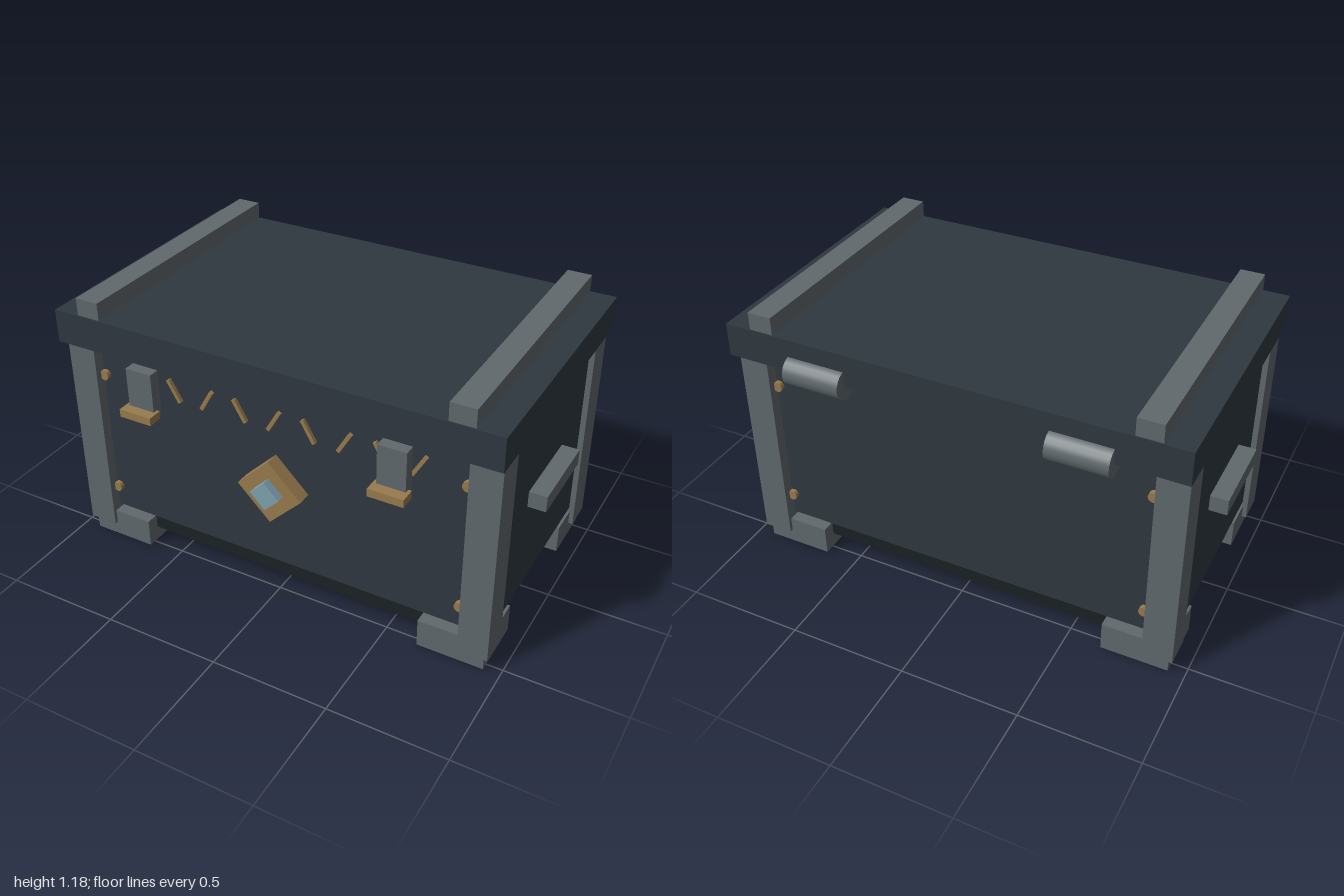
import * as THREE from 'three';

const mat = (color) => new THREE.MeshStandardMaterial({ color });

export function createModel() {
  const chest = new THREE.Group();
  chest.name = 'chest';
  const wood = mat(0x2f3840), base = mat(0x1b2225), iron = mat(0x60696d);
  const brass = mat(0x987b4e), crystal = mat(0x7fa3b0);
  const zc = -0.006; // depth centre of the carcass

  const add = (name, geometry, material, x, y, z) => {
    const mesh = new THREE.Mesh(geometry, material);
    mesh.name = name;
    mesh.position.set(x, y, z);
    chest.add(mesh);
    return mesh;
  };
  const box = (name, material, w, h, d, x, y, z) =>
    add(name, new THREE.BoxGeometry(w, h, d), material, x, y, z);

  // Carcass and lid
  box('base', base, 1.78, 0.085, 0.96, 0, 0.105, zc);
  box('body', wood, 1.85, 0.755, 1.01, 0, 0.5225, zc);
  box('lidLiner', base, 1.8, 0.03, 0.98, 0, 0.96, zc);
  box('lid', wood, 1.92, 0.142, 1.186, 0, 1.034, zc - 0.001);

  for (const sx of [-1, 1]) {
    // Corner posts, feet and rivets
    for (const sz of [-1, 1]) {
      box('cornerPost', iron, 0.127, 0.9, 0.133, sx * 0.885, 0.513, zc + sz * 0.486);
      box('foot', iron, 0.283, 0.125, 0.255, sx * 0.788, 0.0625, zc + sz * 0.41);
      for (const y of [0.25, 0.81]) {
        const rivet = add('rivet', new THREE.CylinderGeometry(0.022, 0.022, 0.04, 12),
          brass, sx * 0.808, y, zc + sz * 0.505);
        rivet.rotation.x = Math.PI / 2;
      }
    }
    // Lid battens and side handles
    box('lidBatten', iron, 0.103, 0.085, 1.174, sx * 0.797, 1.1375, zc - 0.001);
    box('handle', iron, 0.09, 0.07, 0.367, sx * 0.955, 0.58, zc);

    // Front clasps
    box('clasp', iron, 0.118, 0.197, 0.048, sx * 0.552, 0.8465, 0.586);
    box('claspTab', brass, 0.147, 0.034, 0.065, sx * 0.552, 0.76, 0.6225);

    // Back hinge barrels
    const hinge = add('hinge', new THREE.CylinderGeometry(0.065, 0.065, 0.25, 20),
      iron, sx * 0.553, 0.967, -0.585);
    hinge.rotation.z = Math.PI / 2;
  }

  // Row of inlays under the lid, with zigzag strokes below
  for (let i = -4; i <= 4; i++) {
    const x = i * 0.1535;
    box('inlay', crystal, 0.092, 0.028, 0.02, x, 0.93, 0.51);
    const stroke = box('stroke', brass, 0.016, 0.104, 0.02, x, 0.832, 0.505);
    stroke.rotation.z = (i % 2 === 0 ? -1 : 1) * Math.PI / 6;
  }

  // Diamond lock plate with its gem
  box('lockPlate', brass, 0.203, 0.203, 0.07, 0, 0.53, 0.526).rotation.z = Math.PI / 4;
  box('lockGem', crystal, 0.092, 0.092, 0.06, 0, 0.532, 0.566).rotation.z = Math.PI / 4;

  return chest;
}
